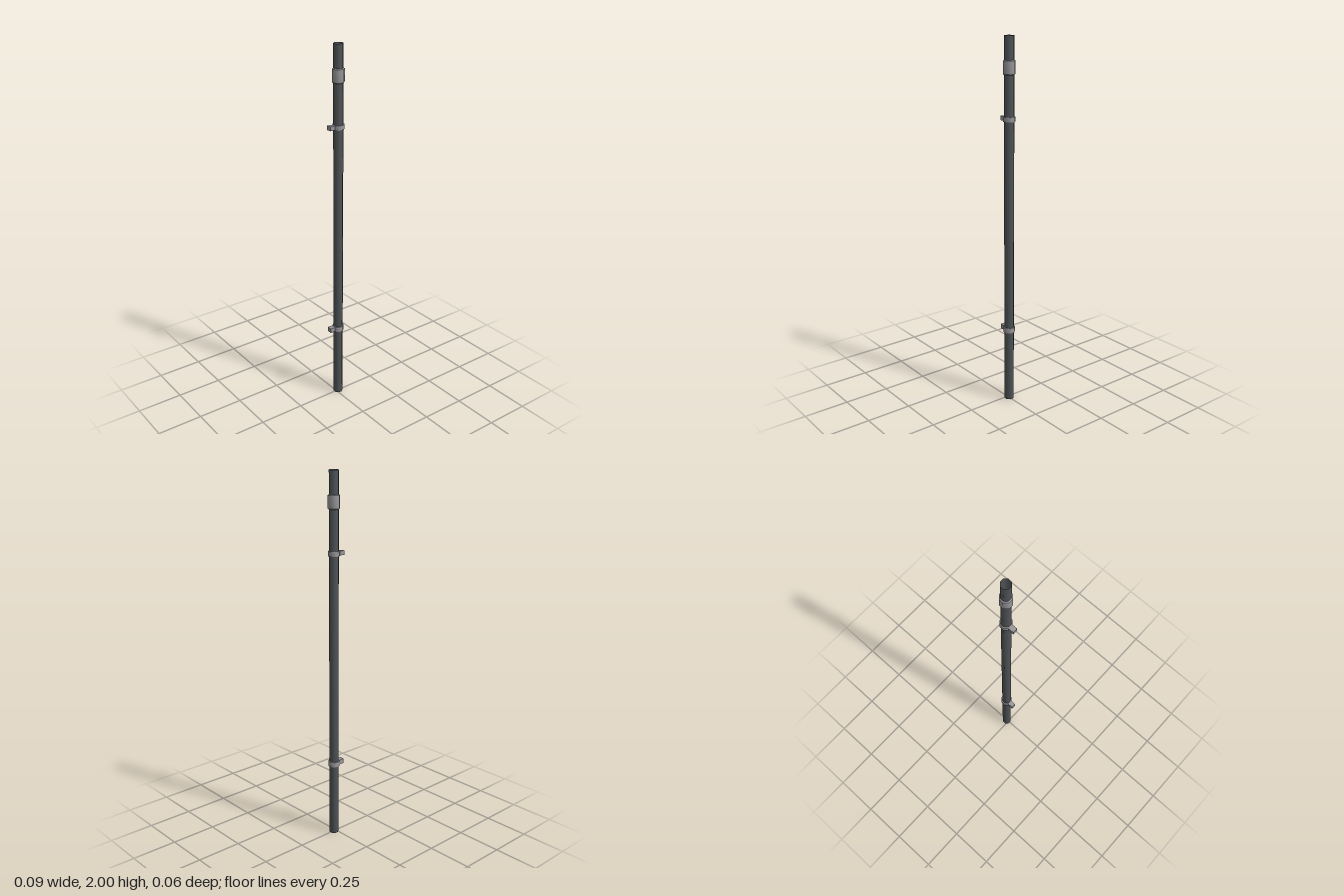
import * as THREE from 'three';
import { toCreasedNormals } from 'three/addons/utils/BufferGeometryUtils.js';

const PIPE_X = 0.0135, PIPE_Z = -0.001;

// Eight-sided turned part; front and back edges are twisted slightly.
function octagonLathe(profile) {
  const points = profile.map(([r, y]) => new THREE.Vector2(r, y));
  const geo = new THREE.LatheGeometry(points, 8, Math.PI / 8);
  const pos = geo.attributes.position;
  const c = Math.cos(0.087), s = Math.sin(0.087);
  for (let i = 0; i < pos.count; i++) {
    const x = pos.getX(i), z = pos.getZ(i);
    if (Math.abs(z) > Math.abs(x)) {
      pos.setX(i, x * c - z * s);
      pos.setZ(i, z * c + x * s);
    }
  }
  geo.translate(PIPE_X, 0, PIPE_Z);
  return toCreasedNormals(geo, 0.93);
}

export function createModel() {
  const group = new THREE.Group();
  const darkMetal = new THREE.MeshStandardMaterial({ color: 0x505457, side: THREE.DoubleSide });
  darkMetal.name = 'dark grey pipe';
  const lightMetal = new THREE.MeshStandardMaterial({ color: 0x99979b, side: THREE.DoubleSide });
  lightMetal.name = 'light grey fittings';

  const add = (name, geo, mat, parent = group) => {
    const mesh = new THREE.Mesh(geo, mat);
    mesh.name = name;
    parent.add(mesh);
    return mesh;
  };

  // Open-ended pipe
  add('pipe', octagonLathe([[0.0265, 0], [0.0265, 2]]), darkMetal);

  // Joint sleeve with chamfered ends
  add('collar', octagonLathe([
    [0.0265, 1.806], [0.0325, 1.81], [0.0325, 1.876], [0.0265, 1.88],
  ]), lightMetal);

  // Wall clamps: a band round the pipe with a bracket tab
  for (const [name, y, h] of [['lowerClamp', 0.421, 0.029], ['upperClamp', 1.583, 0.025]]) {
    const clamp = new THREE.Group();
    clamp.name = name;
    clamp.position.y = y;
    add('band', octagonLathe([
      [0.0265, -h / 2], [0.0325, -h / 2], [0.0325, h / 2], [0.0265, h / 2],
    ]), lightMetal, clamp);
    const tab = add('tab', new THREE.BoxGeometry(0.031, h * 0.9, 0.027), lightMetal, clamp);
    tab.position.set(-0.0295, 0, -0.0025);
    group.add(clamp);
  }
  return group;
}
